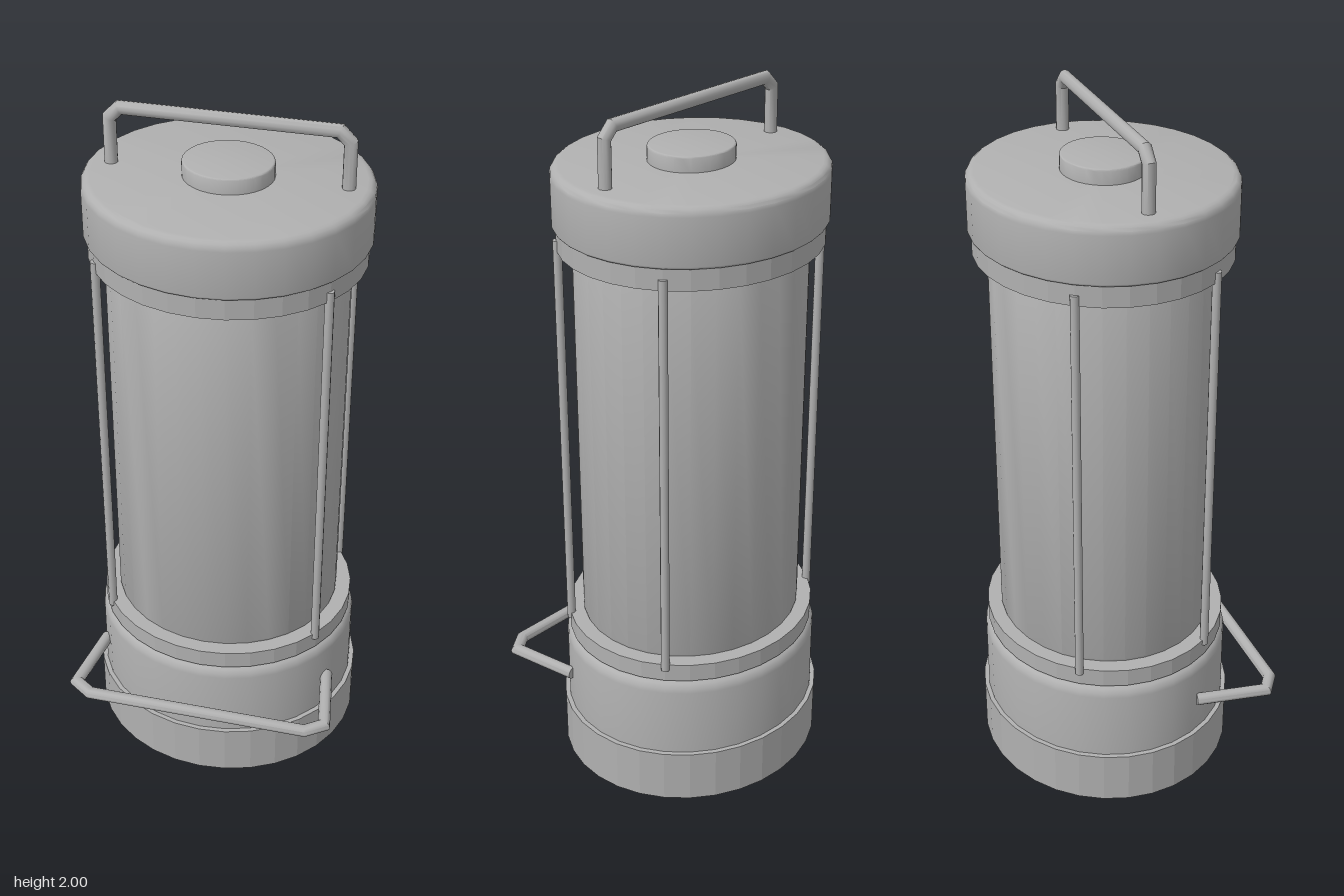
import * as THREE from 'three';
import { toCreasedNormals } from 'three/addons/utils/BufferGeometryUtils.js';

const SIDES = 32, DEPTH = 0.93, CENTRE_Z = -0.027;

export function createModel() {
  const model = new THREE.Group();
  model.name = 'lantern';
  const grey = new THREE.MeshStandardMaterial({ color: 0xb0b0b0 });
  grey.name = 'plain grey';

  const add = (name, geometry) => {
    const mesh = new THREE.Mesh(geometry, grey);
    mesh.name = name;
    model.add(mesh);
    return mesh;
  };

  // Solid drum, slightly oval, with rounded bottom and top edges
  const drum = (name, r, y0, y1, roundBottom, roundTop, crease = 0.6) => {
    const pts = [new THREE.Vector2(0, y0)];
    const corner = (cy, b, from) => {
      const steps = b > 0 ? 4 : 0;
      for (let i = 0; i <= steps; i++) {
        const a = from + (steps ? (i / steps) * Math.PI / 2 : 0);
        pts.push(new THREE.Vector2(r - b + b * Math.cos(a), cy + b * Math.sin(a)));
      }
    };
    corner(y0 + roundBottom, roundBottom, -Math.PI / 2);
    corner(y1 - roundTop, roundTop, 0);
    pts.push(new THREE.Vector2(0, y1));
    const g = new THREE.LatheGeometry(pts, SIDES);
    g.scale(1, 1, DEPTH);
    g.translate(0, 0, CENTRE_Z);
    return add(name, toCreasedNormals(g, crease));
  };

  // Round bar with mitred corners along a flat path; up is the path's plane normal
  const bar = (name, path, up, radius, n = 12) => {
    const pos = [], idx = [];
    const last = path.length - 1;
    path.forEach((p, i) => {
      const before = path[Math.max(i, 1)].clone().sub(path[Math.max(i, 1) - 1]).normalize();
      const j = Math.min(i, last - 1);
      const after = path[j + 1].clone().sub(path[j]).normalize();
      const tangent = before.clone().add(after).normalize();
      const side = new THREE.Vector3().crossVectors(up, tangent);
      side.divideScalar(tangent.dot(before));
      for (let k = 0; k < n; k++) {
        const a = (k / n) * Math.PI * 2;
        const v = p.clone().addScaledVector(side, radius * Math.cos(a))
          .addScaledVector(up, radius * Math.sin(a));
        pos.push(v.x, v.y, v.z);
      }
    });
    for (let i = 0; i < last; i++) {
      for (let k = 0; k < n; k++) {
        const a = i * n + k, b = i * n + (k + 1) % n;
        idx.push(a, a + n, b, b, a + n, b + n);
      }
    }
    // End caps
    for (let k = 1; k < n - 1; k++) {
      idx.push(0, k, k + 1);
      idx.push(last * n, last * n + k + 1, last * n + k);
    }
    // Face winding: side x up points against the tangent, so turn every face outward
    for (let t = 0; t < idx.length; t += 3) [idx[t + 1], idx[t + 2]] = [idx[t + 2], idx[t + 1]];
    const g = new THREE.BufferGeometry();
    g.setAttribute('position', new THREE.Float32BufferAttribute(pos, 3));
    g.setIndex(idx);
    return add(name, toCreasedNormals(g, 0.7));
  };

  // Body, from the ground up; the base and collars are faceted
  drum('base', 0.4, 0, 0.16, 0, 0, 0.01);
  drum('lowerBody', 0.386, 0.15, 0.405, 0, 0.035);
  drum('lowerCollar', 0.376, 0.408, 0.462, 0, 0, 0.01);
  drum('lampTube', 0.333, 0.455, 1.615, 0.015, 0.015);
  drum('upperCollar', 0.376, 1.605, 1.67, 0, 0, 0.01);
  drum('cap', 0.386, 1.665, 1.827, 0.008, 0.025);
  drum('topButton', 0.122, 1.82, 1.87, 0, 0.006);

  // Four guard rods around the lamp tube
  for (const sx of [-1, 1]) {
    for (const sz of [-1, 1]) {
      const rod = add('guardRod', new THREE.CylinderGeometry(0.0125, 0.0125, 1.19, 10));
      rod.position.set(sx * 0.31, 1.04, CENTRE_Z + sz * 0.193);
    }
  }

  // Mirrors a half path (right half first) into a full symmetric one
  const mirrored = (half) => [
    ...half,
    ...half.slice().reverse().map((p) => new THREE.Vector3(-p.x, p.y, p.z)),
  ];
  const V = (x, y, z) => new THREE.Vector3(x, y, z);

  // Carrying handle on the cap
  bar('topHandle', mirrored([
    V(0.315, 1.81, CENTRE_Z), V(0.315, 1.953, CENTRE_Z), V(0.287, 1.982, CENTRE_Z),
  ]), V(0, 0, 1), 0.018);

  // Folding bail at the front of the lower body
  bar('frontBail', mirrored([
    V(0.345, 0.27, 0.133), V(0.378, 0.27, 0.343), V(0.326, 0.27, 0.379),
  ]), V(0, 1, 0), 0.018);

  return model;
}
